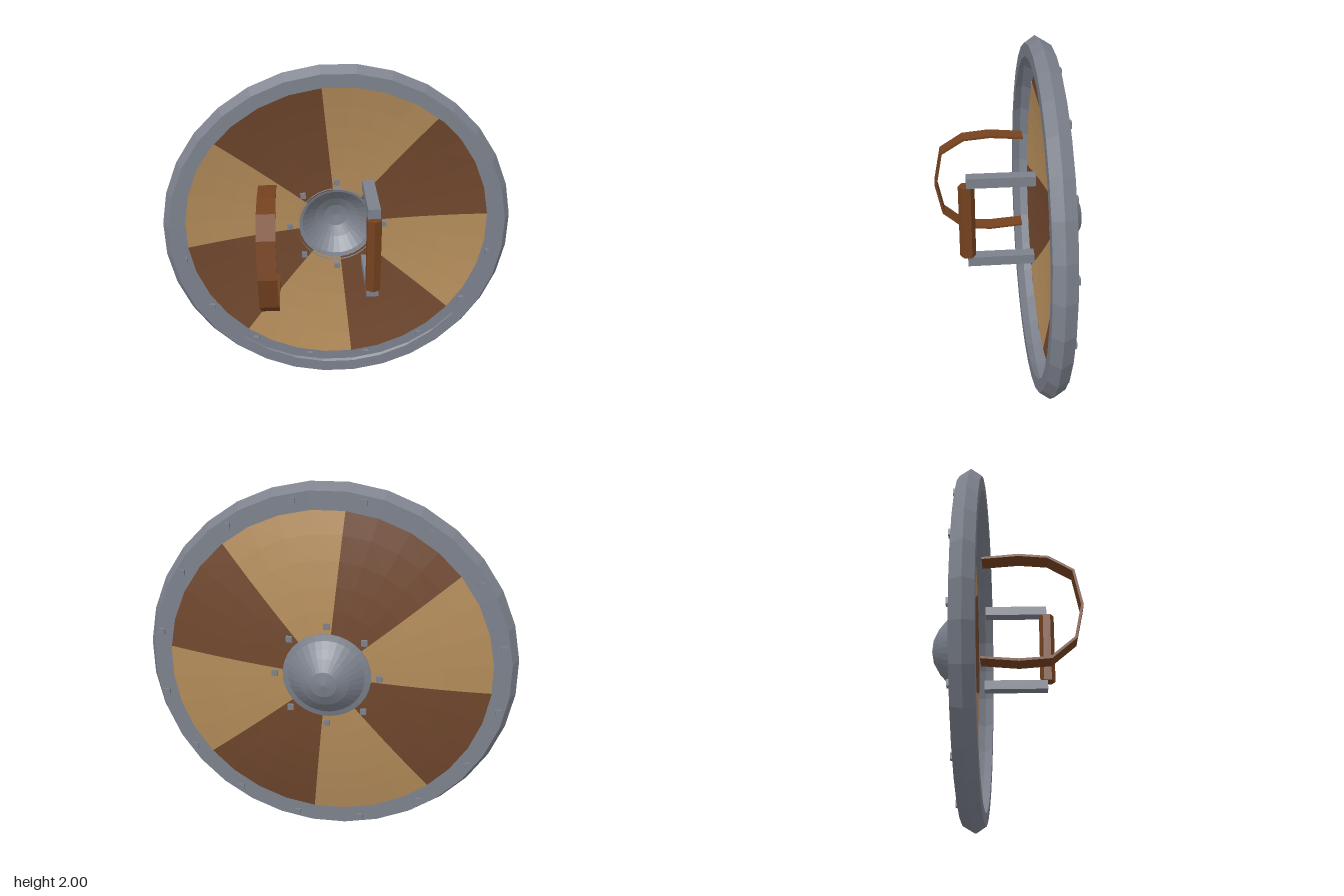
import * as THREE from 'three';

const mat = (name, color) => {
  const m = new THREE.MeshStandardMaterial({ color, flatShading: true, side: THREE.DoubleSide });
  m.name = name;
  return m;
};

export function createModel() {
  const steel = mat('steel', 0x7c818c);
  const darkWood = mat('darkWood', 0x70472d);
  const lightWood = mat('lightWood', 0xb48c5a);
  const leather = mat('leather', 0x75421f);

  const shield = new THREE.Group();
  shield.name = 'roundShield';
  const add = (name, geometry, material, x = 0, y = 0, z = 0) => {
    const mesh = new THREE.Mesh(geometry, material);
    mesh.name = name;
    mesh.position.set(x, y, z);
    shield.add(mesh);
    return mesh;
  };

  // Revolve [radius, z] points about the z axis, from an angle counted from +x
  const HALF = Math.PI / 32;
  const revolve = (points, segments = 32, start = HALF, sweep = Math.PI * 2) =>
    new THREE.LatheGeometry(points.map(([r, z]) => new THREE.Vector2(r, z)),
      segments, start + Math.PI / 2, sweep).rotateX(Math.PI / 2);

  // Hollow rim channel, open towards the middle
  add('rim', revolve([[0.895, -0.11], [0.967, -0.11], [1.004, -0.165], [0.967, -0.228], [0.872, -0.228]]),
    steel, 0, 1, 0);

  // Shallow domed board in eight wedges of alternating wood
  const dome = r => -0.292 + 0.113 * r * r;
  const boardProfile = [0.225, 0.36, 0.49, 0.62, 0.75, 0.885].map(r => [r, dome(r)]);
  for (let i = 0; i < 8; i++) {
    add('boardWedge' + (i + 1), revolve(boardProfile, 4, HALF + i * Math.PI / 4, Math.PI / 4),
      i % 2 ? lightWood : darkWood, 0, 1, 0);
  }

  // Central boss: a thin flange and a hollow bowl
  add('boss', revolve([[0.237, -0.272], [0.237, -0.293], [0.205, -0.302], [0.17, -0.335],
    [0.13, -0.37], [0.07, -0.403], [0, -0.416]]), steel, 0, 1, 0);

  // Square rivets around the boss and on the rim
  const rivets = (name, count, radius, z, offset) => {
    const geometry = new THREE.BoxGeometry(0.032, 0.032, 0.032);
    for (let i = 0; i < count; i++) {
      const a = offset + i * Math.PI * 2 / count;
      add(name, geometry, steel, radius * Math.cos(a), 1 + radius * Math.sin(a), z);
    }
  };
  rivets('bossRivet', 8, 0.28, -0.281, 0);
  rivets('rimRivet', 16, 0.93, -0.224, Math.PI / 16);

  // Hand grip: two steel brackets and a six-sided bar
  for (const y of [0.85, 1.328]) {
    add('gripBracket', new THREE.BoxGeometry(0.066, 0.055, 0.365), steel, 0.166, y, 0.0575);
  }
  add('grip', new THREE.CylinderGeometry(0.044, 0.044, 0.424, 6), leather, 0.166, 1.089, 0.24);

  // Arm strap: a band with an outer and an inner edge, given as [z, y]
  const outer = [[-0.115, 1.345], [0.08, 1.362], [0.24, 1.346], [0.374, 1.261], [0.414, 1.053],
    [0.374, 0.862], [0.245, 0.751], [0.08, 0.738], [-0.115, 0.755]];
  const inner = outer.map(([z, y]) => {
    const dz = z - 0.06, dy = y - 1.05, k = 1 - 0.014 / Math.hypot(dz, dy);
    return [z < -0.1 ? z : 0.06 + dz * k, 1.05 + dy * k];
  });
  const band = new THREE.Shape([...outer, ...inner.reverse()].map(p => new THREE.Vector2(...p)));
  const strap = new THREE.ExtrudeGeometry(band, { depth: 0.1, bevelEnabled: false });
  strap.rotateY(-Math.PI / 2); // band plane becomes z-y, width runs along -x
  add('armStrap', strap, leather, -0.345, 0, 0);

  return shield;
}
